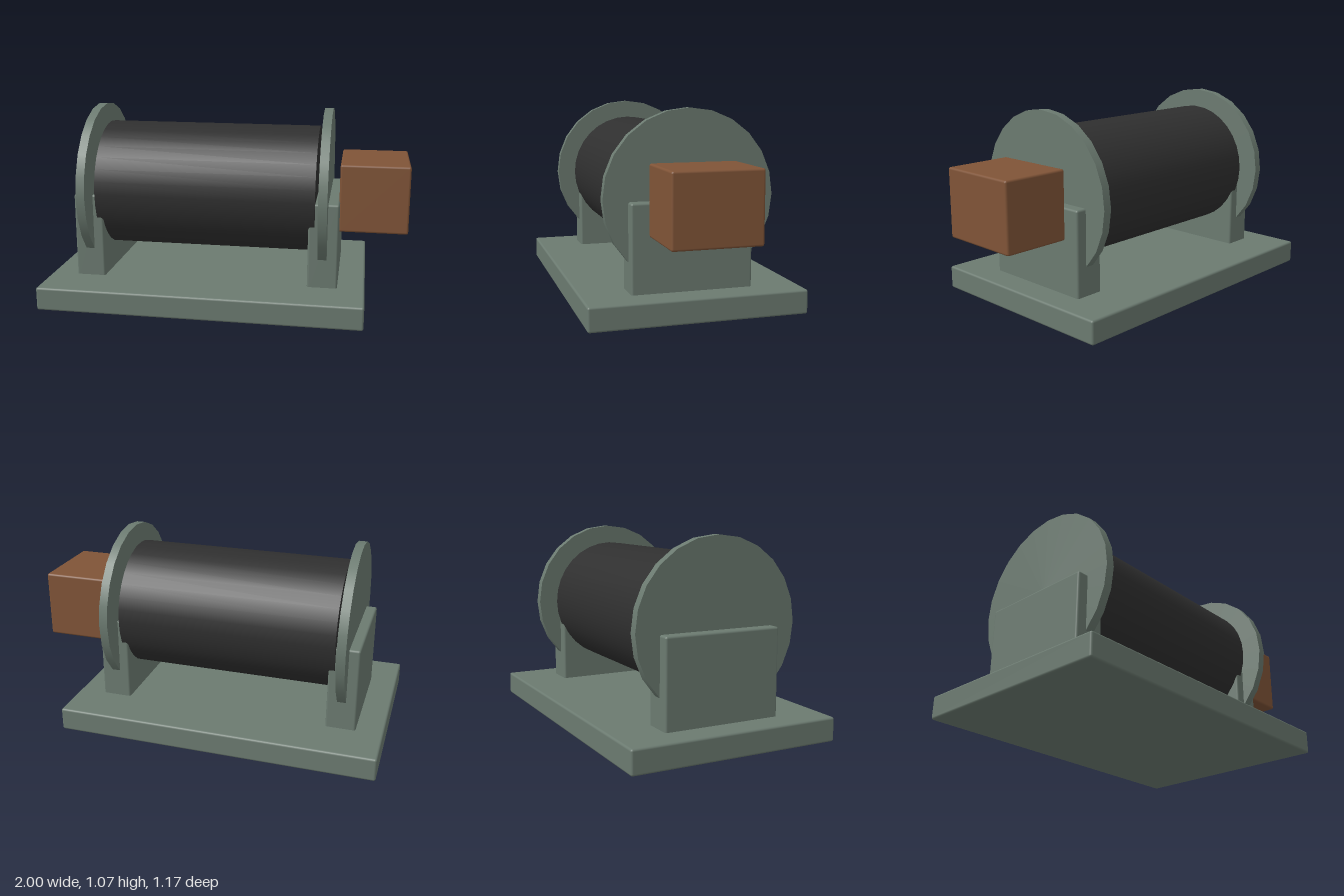
import * as THREE from 'three';
import { RoundedBoxGeometry } from 'three/addons/geometries/RoundedBoxGeometry.js';

const AXIS_Y = 0.612; // height of the drum axis

export function createModel() {
  const group = new THREE.Group();
  const paintedSteel = new THREE.MeshStandardMaterial({ color: 0x6b7a70 });
  paintedSteel.name = 'greyGreenSteel';
  const rubber = new THREE.MeshStandardMaterial({ color: 0x2f2f2f });
  rubber.name = 'blackDrum';
  const motorPaint = new THREE.MeshStandardMaterial({ color: 0x805437 });
  motorPaint.name = 'brownMotor';

  // Softly bevelled block given by its x and y ranges and its full depth
  function block(name, x0, x1, y0, y1, depth, material) {
    const geometry = new RoundedBoxGeometry(x1 - x0, y1 - y0, depth, 2, 0.012);
    const mesh = new THREE.Mesh(geometry, material);
    mesh.name = name;
    mesh.position.set((x0 + x1) / 2, (y0 + y1) / 2, 0);
    group.add(mesh);
  }

  // Cylinder lying along x on the drum axis
  function roller(name, x0, x1, radius, sides, material) {
    const geometry = new THREE.CylinderGeometry(radius, radius, x1 - x0, sides);
    geometry.rotateZ(Math.PI / 2);
    const mesh = new THREE.Mesh(geometry, material);
    mesh.name = name;
    mesh.position.set((x0 + x1) / 2, AXIS_Y, 0);
    group.add(mesh);
  }

  // Base plate and the two bearing supports
  block('basePlate', -1, 0.78, 0, 0.13, 1.17, paintedSteel);
  block('rightSupport', -0.85, -0.685, 0.11, 0.6, 0.655, paintedSteel);
  block('leftSupport', 0.465, 0.63, 0.11, 0.6, 0.655, paintedSteel);

  // Drum between two larger flanges
  roller('drum', -0.72, 0.5, 0.357, 32, rubber);
  roller('rightFlange', -0.79, -0.742, 0.46, 24, paintedSteel);
  roller('leftFlange', 0.522, 0.57, 0.46, 24, paintedSteel);

  // Motor housing on the left end
  block('motor', 0.625, 1, 0.425, 0.8, 0.467, motorPaint);

  return group;
}
